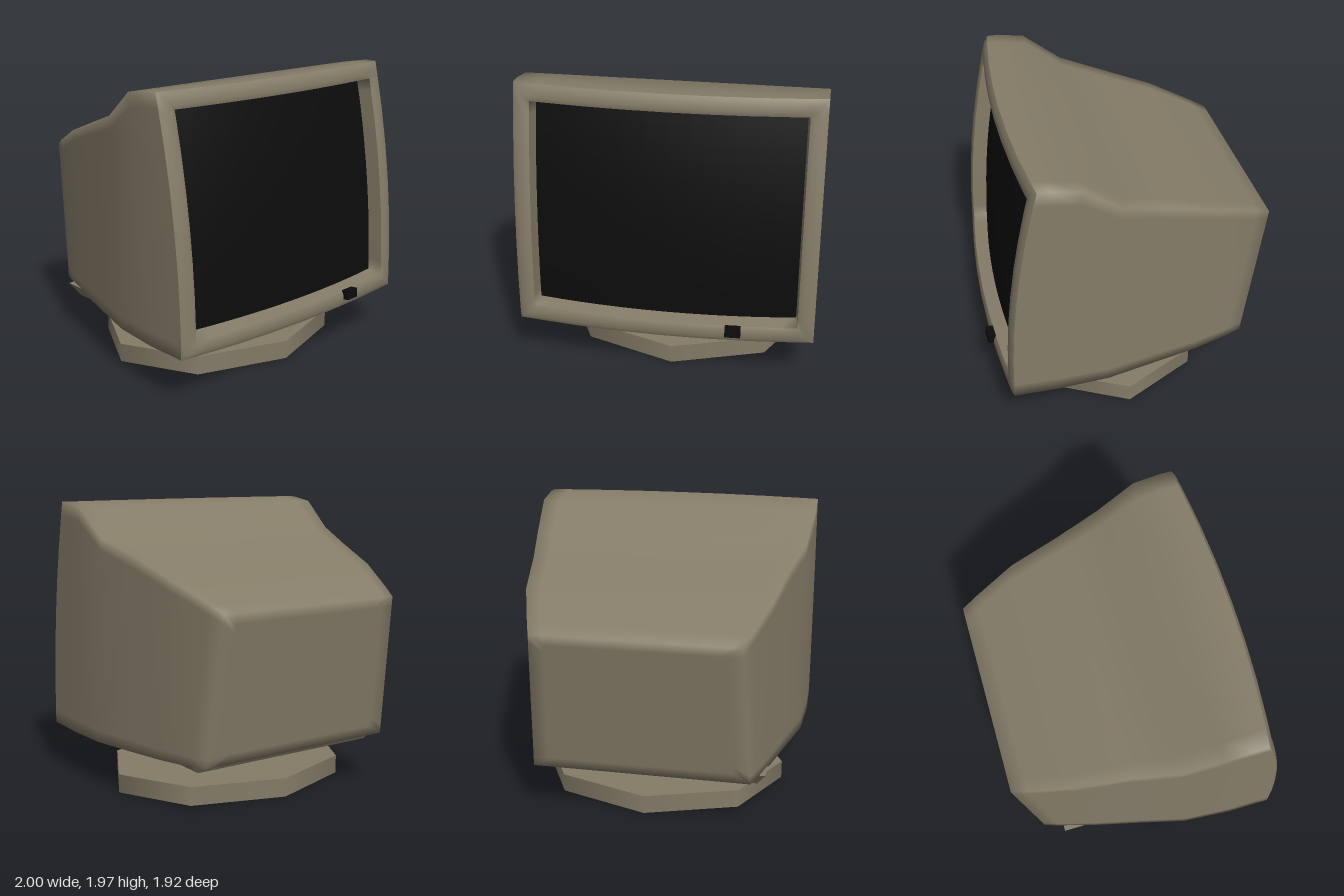
import * as THREE from 'three';

const shellMat = new THREE.MeshStandardMaterial({ color: 0x857c68 });
const blackMat = new THREE.MeshStandardMaterial({ color: 0x0c0c0c });

// Half width of the housing along its depth, as [z, half width]
const WIDTHS = [[-0.96, 0.685], [-0.77, 0.755], [-0.55, 0.825], [-0.2, 0.89], [0.1, 0.965], [0.35, 1]];
function halfWidth(z) {
  if (z <= WIDTHS[0][0]) return WIDTHS[0][1];
  for (let i = 1; i < WIDTHS.length; i++) {
    const [z0, w0] = WIDTHS[i - 1], [z1, w1] = WIDTHS[i];
    if (z <= z1) return w0 + (w1 - w0) * (z - z0) / (z1 - z0);
  }
  return 1;
}
const shift = z => 0.025 * THREE.MathUtils.clamp((0.35 - z) / 0.8, 0, 1);

// Perimeter of a square (-1..1), counter-clockwise seen from the front
const STEPS = [-1, -0.88, -0.6, -0.3, 0, 0.3, 0.6, 0.88];
const PERIMETER = [
  ...STEPS.map(s => [s, -1]), ...STEPS.map(s => [1, s]),
  ...STEPS.map(s => [-s, 1]), ...STEPS.map(s => [-1, -s]),
];

// Skin between closed rings of equal point count, ordered back to front
function loft(rings) {
  const n = rings[0].length, index = [];
  for (let i = 0; i < rings.length - 1; i++) {
    for (let j = 0; j < n; j++) {
      const a = i * n + j, b = i * n + (j + 1) % n;
      index.push(a, b, b + n, a, b + n, a + n);
    }
  }
  const g = new THREE.BufferGeometry();
  g.setAttribute('position', new THREE.Float32BufferAttribute(rings.flat(2), 3));
  g.setIndex(index);
  g.computeVertexNormals();
  return g;
}

// Tilted, bowed front surface
const Y0 = 0.335, Y1 = 1.97;
function frontZ(x, y, bow = 0.07) {
  const t = (y - Y0) / (Y1 - Y0);
  return 0.865 - 0.215 * t * t + bow * (1 - x * x);
}

// Housing section leaning from (zBot, yBot) to (zTop, yTop)
function section(zTop, yTop, zBot, yBot, shrink = 1) {
  const mid = (yTop + yBot) / 2, half = (yTop - yBot) / 2;
  return PERIMETER.map(([u, v]) => {
    const z = zBot + (zTop - zBot) * (v * shrink + 1) / 2;
    return [shift(z) + u * shrink * halfWidth(z), mid + v * shrink * half, z];
  });
}

// Bezel ring inset from the outline and pushed back by depth
function bezelRing(inset, depth) {
  return PERIMETER.map(([u, v]) => {
    const x = u * (1 - inset);
    const y = (Y0 + Y1) / 2 + v * ((Y1 - Y0) / 2 - inset);
    return [x, y, frontZ(x, y) - depth];
  });
}

function add(group, name, geometry, material, x = 0, y = 0, z = 0) {
  const mesh = new THREE.Mesh(geometry, material);
  mesh.name = name;
  mesh.position.set(x, y, z);
  group.add(mesh);
  return mesh;
}

export function createModel() {
  const model = new THREE.Group();
  model.name = 'crtMonitor';

  // Housing: closed back, sloping top, stepped brow, open at the bezel
  const back = [-0.955, 1.35, -0.815, 0.36];
  add(model, 'housing', loft([
    section(...back, 0), section(...back, 0.5), section(...back, 0.86), section(...back),
    section(-0.85, 1.4, -0.71, 0.352),
    section(-0.55, 1.53, -0.45, 0.345),
    section(-0.2, 1.65, -0.12, 0.335),
    section(0.11, 1.75, 0.2, 0.33),
    section(0.37, 1.94, 0.55, 0.33),
    bezelRing(0, 0.1),
    bezelRing(0, 0.015),
  ]), shellMat);

  // Rounded bezel face and the wall going in to the screen
  add(model, 'bezel', loft([
    bezelRing(0, 0.015), bezelRing(0.03, 0), bezelRing(0.08, 0), bezelRing(0.11, 0.015),
  ]), shellMat);
  add(model, 'bezelInnerWall', loft([bezelRing(0.11, 0.015), bezelRing(0.128, 0.15)]), shellMat);

  // Curved screen
  const screen = new THREE.PlaneGeometry(1.76, 1.41, 12, 12);
  screen.translate(0, 1.165, 0);
  const sp = screen.attributes.position;
  for (let i = 0; i < sp.count; i++) {
    sp.setZ(i, frontZ(sp.getX(i), sp.getY(i), 0.085) - 0.125);
  }
  screen.computeVertexNormals();
  add(model, 'screen', screen, blackMat);

  // Power button on the lower bezel
  add(model, 'powerButton', new THREE.BoxGeometry(0.105, 0.065, 0.05), blackMat, 0.47, 0.42, 0.93)
    .rotation.set(-0.1, 0.06, 0);

  // Tapered pan under the housing
  const pan = new THREE.BoxGeometry(1.6, 0.09, 1.46);
  const pp = pan.attributes.position;
  for (let i = 0; i < pp.count; i++) {
    if (pp.getY(i) < 0) {
      pp.setX(i, pp.getX(i) * 0.895 - 0.025);
      pp.setZ(i, pp.getZ(i) * 0.885 - 0.025);
    }
  }
  pan.computeVertexNormals();
  add(model, 'bottomPan', pan, shellMat, 0, 0.315, 0.05);

  // Swivel neck
  const neck = new THREE.CylinderGeometry(0.28, 0.355, 0.16, 8);
  neck.scale(1, 1, 0.88);
  add(model, 'swivelNeck', neck, shellMat, 0.02, 0.2, 0.015);

  // Eight-sided foot
  const foot = new THREE.CylinderGeometry(0.89, 0.89, 0.13, 8);
  foot.scale(1, 1, 0.81);
  add(model, 'foot', foot, shellMat, 0.03, 0.065, 0.03);

  return model;
}
